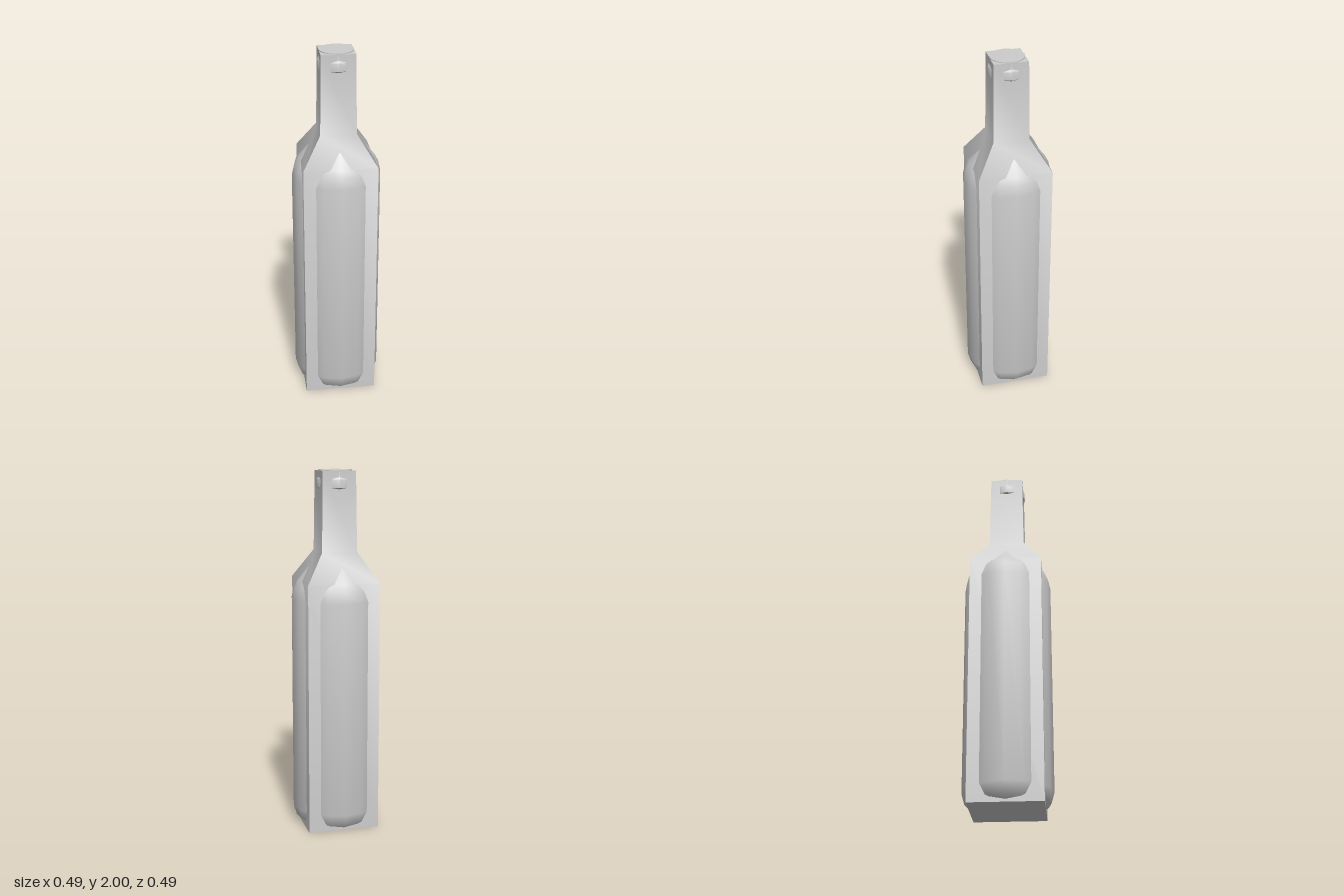
import * as THREE from 'three';
import { toCreasedNormals } from 'three/addons/utils/BufferGeometryUtils.js';

const material = new THREE.MeshStandardMaterial({ color: 0xcccccc });

// Turns a [radius, height] profile, listed from bottom to top, about the y axis
function turned(name, profile, sides, start, scale, crease) {
  const points = profile.map(([r, y]) => new THREE.Vector2(r * scale, y));
  const geometry = new THREE.LatheGeometry(points, sides, start);
  const mesh = new THREE.Mesh(toCreasedNormals(geometry, crease), material);
  mesh.name = name;
  return mesh;
}

export function createModel() {
  const bottle = new THREE.Group();
  bottle.name = 'bottle';

  // Square bottle: four flat sides, sloped shoulder and tapering neck
  bottle.add(turned('squareBody', [
    [0, 0], [0.2, 0], [0.2, 1.4], [0.098, 1.56], [0.092, 1.995], [0, 1.995],
  ], 4, Math.PI / 4, Math.SQRT2, 0.8));

  // Round bottle bulging through the four sides
  bottle.add(turned('roundBody', [
    [0, 0.005], [0.195, 0.01], [0.228, 0.04], [0.245, 0.1],
    [0.245, 1.3], [0.232, 1.36], [0.211, 1.4], [0.153, 1.475],
    [0.1, 1.535], [0.085, 1.6], [0.085, 1.89],
  ], 16, 0, 1, 0.9));

  // Lip ring and flat round mouth at the top of the neck
  bottle.add(turned('lip', [
    [0.085, 1.89], [0.102, 1.905], [0.102, 1.95], [0.093, 1.962],
    [0.093, 2], [0, 2],
  ], 16, 0, 1, 0.7));

  return bottle;
}
